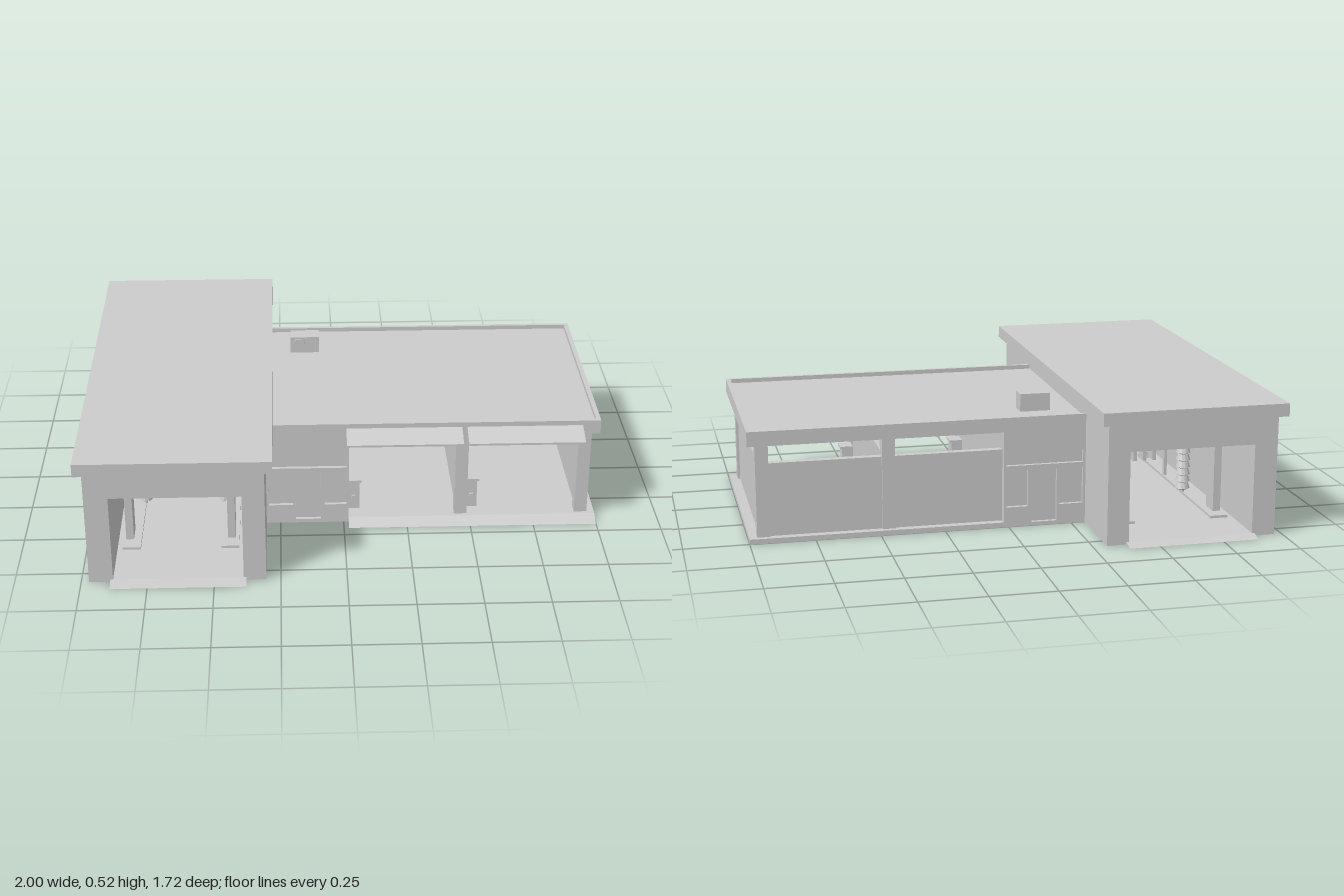
import * as THREE from 'three';

const mat = new THREE.MeshStandardMaterial({ color: 0xcccccc, flatShading: true });
const smooth = new THREE.MeshStandardMaterial({ color: 0xcccccc });

function add(parent, name, geo, material = mat) {
  const m = new THREE.Mesh(geo, material);
  m.name = name;
  parent.add(m);
  return m;
}
// Box given by its two corners
function box(parent, name, x0, x1, y0, y1, z0, z1) {
  const g = new THREE.BoxGeometry(x1 - x0, y1 - y0, z1 - z0);
  g.translate((x0 + x1) / 2, (y0 + y1) / 2, (z0 + z1) / 2);
  return add(parent, name, g);
}
const rect = (a0, a1, b0, b1) => [[a0, b0], [a1, b0], [a1, b1], [a0, b1]];
const toPoints = (list) => list.map(([a, b]) => new THREE.Vector2(a, b));
function extrude(outline, holes, depth) {
  const s = new THREE.Shape(toPoints(outline));
  holes.forEach((h) => s.holes.push(new THREE.Path(toPoints(h))));
  return new THREE.ExtrudeGeometry(s, { depth, bevelEnabled: false });
}
// Outline in (x, y), extruded from z0 to z1
function prismZ(parent, name, outline, holes, z0, z1) {
  return add(parent, name, extrude(outline, holes, z1 - z0).translate(0, 0, z0));
}
// Outline in (z, y), extruded from x0 to x1
function prismX(parent, name, outline, holes, x0, x1) {
  return add(parent, name, extrude(outline, holes, x1 - x0).rotateY(-Math.PI / 2).translate(x1, 0, 0));
}
function group(parent, name) {
  const g = new THREE.Group();
  g.name = name;
  parent.add(g);
  return g;
}

function buildHall(root) {
  const hall = group(root, 'washHall');
  // Shell with the drive-through opening
  prismZ(hall, 'hallShell', [[-0.95, 0], [-0.88, 0], [-0.88, 0.36], [-0.39, 0.36], [-0.39, 0],
    [-0.305, 0], [-0.305, 0.47], [-0.95, 0.47]], [], -0.81, 0.81);
  // Outer wall with a row of recessed windows
  const windows = [];
  for (let i = 0; i < 8; i++) {
    const z = -0.6 + i * 0.152;
    windows.push(rect(z, z + 0.13, 0.07, 0.31));
  }
  prismX(hall, 'windowWall', rect(-0.81, 0.81, 0, 0.47), windows, -0.97, -0.95);
  box(hall, 'hallRoof', -1, -0.275, 0.47, 0.52, -0.84, 0.84);
  box(hall, 'hallFloor', -0.88, -0.39, 0, 0.01, -0.81, 0.81);
  // Entry and exit ramps
  for (const s of [1, -1]) {
    const z = s * 0.81;
    const pts = [[z, 0], [s * 0.86, 0], [z, 0.01]];
    prismX(hall, 'ramp', pts, [], -0.89, -0.38);
  }
}

function buildWashGear(root) {
  const gear = group(root, 'washEquipment');
  const cx = -0.635;
  // Gantry arches
  for (const z of [0.5, -0.5]) {
    prismZ(gear, 'gantryArch', [[-0.85, 0.01], [-0.82, 0.01], [-0.82, 0.305], [-0.455, 0.305],
      [-0.455, 0.01], [-0.425, 0.01], [-0.425, 0.335], [-0.85, 0.335]], [], z - 0.04, z + 0.04);
  }
  // Ragged side brush outline, turned on a lathe
  const profile = [[0, 0.03]];
  for (let i = 0; i < 6; i++) {
    const y = 0.03 + i * 0.03;
    profile.push([0.017, y], [0.03, y + 0.006], [0.022, y + 0.03]);
  }
  profile.push([0, 0.21]);
  for (const s of [1, -1]) {
    box(gear, 'guideRail', cx + s * 0.19 - 0.035, cx + s * 0.19 + 0.035, 0.01, 0.02, -0.6, 0.6);
    for (const z of [0.25, -0.25]) {
      const b = add(gear, 'sideBrush', new THREE.LatheGeometry(toPoints(profile), 12));
      b.position.set(cx + s * 0.158, 0, z);
      const p = add(gear, 'brushSpindle', new THREE.CylinderGeometry(0.008, 0.008, 0.29, 10), smooth);
      p.position.set(cx + s * 0.158, 0.16, z);
    }
    box(gear, 'curtainPost', cx + s * 0.165 - 0.006, cx + s * 0.165 + 0.006, 0.01, 0.305, -0.01, 0.01);
  }
  for (const z of [0.25, -0.25]) {
    box(gear, 'brushBeam', cx - 0.17, cx + 0.17, 0.305, 0.32, z - 0.015, z + 0.015);
  }
  // Hanging cloth curtain
  box(gear, 'curtainBar', cx - 0.165, cx + 0.165, 0.245, 0.255, -0.015, 0.015);
  for (let i = 0; i < 6; i++) {
    const x = cx - 0.108 + i * 0.042;
    box(gear, 'curtainStrip', x - 0.008, x + 0.008, 0.095, 0.247, -0.03, 0.03);
  }
}

function buildOffice(root) {
  const office = group(root, 'office');
  box(office, 'officeCore', -0.305, 0.02, 0, 0.4, -0.49, 0.385);
  // Facades with recessed sign panel, door and windows
  const holes = [rect(-0.295, 0.012, 0.245, 0.295), rect(-0.19, -0.09, 0.015, 0.225),
    rect(-0.295, -0.2, 0.08, 0.225), rect(-0.075, 0.012, 0.08, 0.225)];
  prismZ(office, 'frontFacade', rect(-0.305, 0.02, 0, 0.38), holes, 0.385, 0.4);
  prismZ(office, 'backFacade', rect(-0.305, 0.02, 0, 0.38), holes, -0.505, -0.49);
}

function buildBays(root) {
  const bays = group(root, 'washBays');
  // Floor with sloping front apron
  prismX(bays, 'bayFloor', [[-0.505, 0], [0.45, 0], [0.4, 0.02], [-0.505, 0.02]], [], 0.02, 1);
  for (const x of [0.44, 0.92]) {
    box(bays, 'frontPost', x, x + 0.05, 0.02, 0.38, 0.335, 0.385);
    box(bays, 'backPost', x, x + 0.05, 0.02, 0.38, -0.485, -0.435);
    box(bays, x < 0.5 ? 'bayDivider' : 'endWall', x + 0.01, x + 0.04, 0.02, 0.305, -0.435, 0.335);
  }
  box(bays, 'backWall', 0.02, 0.44, 0.02, 0.305, -0.475, -0.445);
  box(bays, 'backWall', 0.49, 0.92, 0.02, 0.305, -0.475, -0.445);

  for (const x of [0.01, 0.48]) {
    prismX(bays, 'awning', [[0.4, 0.38], [0.485, 0.38], [0.485, 0.388], [0.4, 0.418]], [], x, x + 0.45);
  }
  // Payment and vacuum machines
  for (const x of [0.02, 0.49]) {
    const m = group(bays, 'bayMachine');
    box(m, 'machineBody', x, x + 0.045, 0.02, 0.14, 0.27, 0.33);
    box(m, 'machineCap', x, x + 0.053, 0.14, 0.15, 0.265, 0.338);
    const d = add(m, 'machineDial', new THREE.CylinderGeometry(0.013, 0.013, 0.008, 20).rotateX(Math.PI / 2), smooth);
    d.position.set(x + 0.025, 0.07, 0.333);
  }
}

function buildWingRoof(root) {
  const roof = group(root, 'wingRoof');
  box(roof, 'roofSlab', -0.305, 1, 0.38, 0.42, -0.505, 0.4);
  // Parapet lip
  box(roof, 'frontParapet', -0.305, 1, 0.42, 0.437, 0.385, 0.4);
  box(roof, 'backParapet', -0.305, 1, 0.42, 0.437, -0.505, -0.49);
  box(roof, 'endParapet', 0.982, 1, 0.42, 0.437, -0.49, 0.385);
  // Rooftop air conditioner
  box(roof, 'airUnit', -0.2, -0.08, 0.42, 0.49, -0.355, -0.285);
  const fan = add(roof, 'airUnitFan', new THREE.CylinderGeometry(0.026, 0.026, 0.008, 24).rotateX(Math.PI / 2), smooth);
  fan.position.set(-0.165, 0.457, -0.282);
}

export function createModel() {
  const root = new THREE.Group();
  root.name = 'carWash';
  buildHall(root);
  buildWashGear(root);
  buildOffice(root);
  buildBays(root);
  buildWingRoof(root);
  return root;
}
